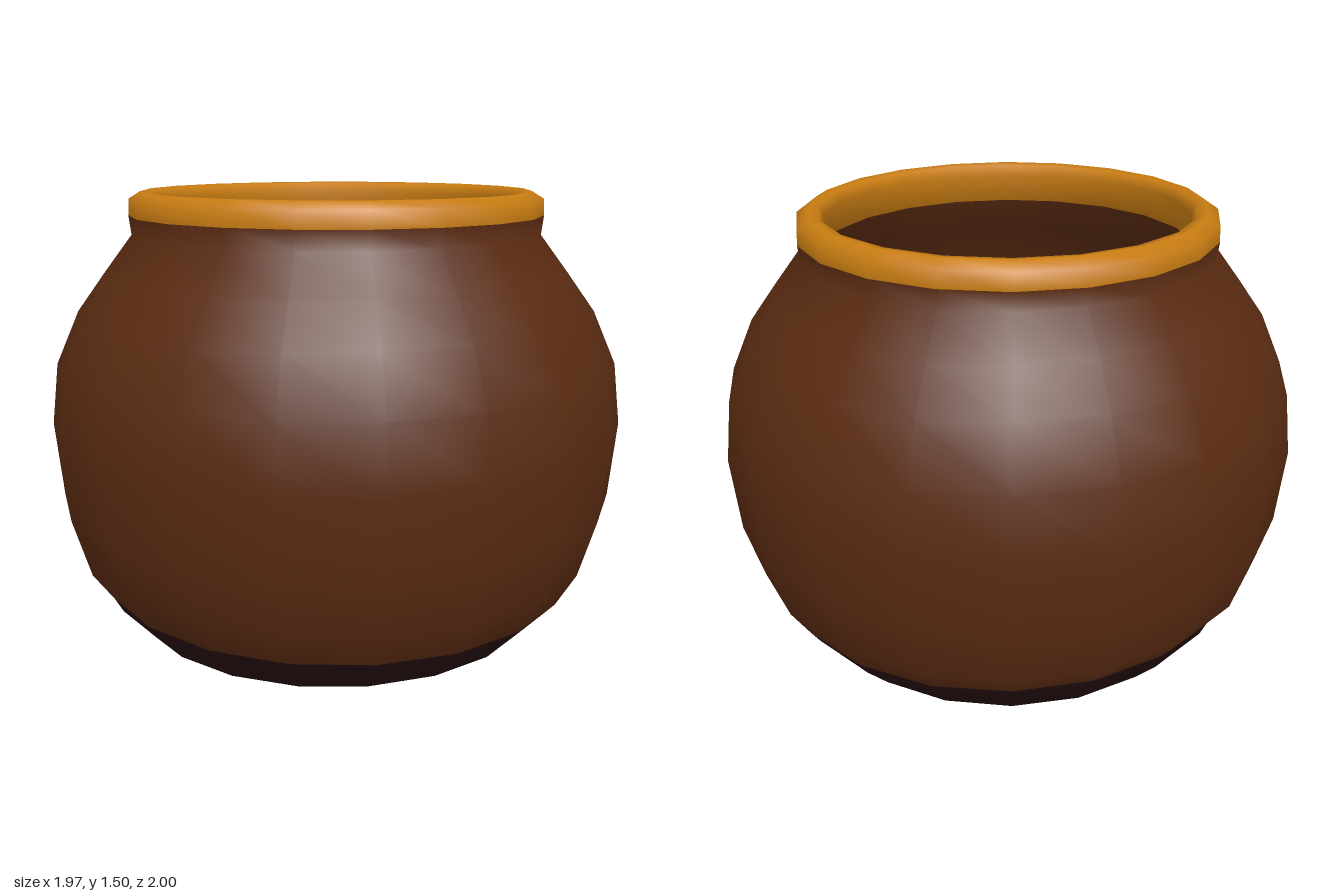
import * as THREE from 'three';

const SEGMENTS = 20;

// One continuous profile [radius, height]: under the base, up the outside,
// over the lip, and down the inside to the middle of the floor.
const PROFILE = [
  [0, 0], [0.72, 0], [0.815, 0.1], [0.845, 0.148],                        // 0-3 base
  [0.915, 0.25], [0.975, 0.45], [1, 0.71], [0.975, 0.92], [0.895, 1.1],
  [0.8, 1.23], [0.705, 1.355], [0.713, 1.42],                             // 4-11 body
  [0.71, 1.475], [0.67, 1.5], [0.635, 1.495], [0.62, 1.46], [0.635, 1.36], // 12-16 rim
  [0.74, 1.22], [0.83, 1.09], [0.91, 0.91], [0.935, 0.71], [0.91, 0.46],
  [0.85, 0.27], [0.77, 0.14],                                             // 17-23 inner wall
  [0.68, 0.05], [0, 0.05],                                                // 24-25 floor
];
const SEAM = 3;

// Turns the whole profile, then keeps the bands between two profile points,
// so neighbouring parts share smooth normals.
function turnBand(from, to) {
  const geometry = new THREE.LatheGeometry(
    PROFILE.map(([r, y]) => new THREE.Vector2(r, y)), SEGMENTS);
  const all = geometry.index.array;
  const kept = [];
  const bands = PROFILE.length - 1;
  for (let s = 0; s < SEGMENTS; s++) {
    for (let k = (s * bands + from) * 6; k < (s * bands + to) * 6; k++) kept.push(all[k]);
  }
  geometry.setIndex(kept);

  // The line where base meets body tilts a little
  const position = geometry.attributes.position;
  for (let s = 0; s <= SEGMENTS; s++) {
    const i = s * PROFILE.length + SEAM;
    position.setY(i, PROFILE[SEAM][1] - 0.02 * position.getX(i));
  }
  geometry.scale(0.985, 1, 1);
  return geometry;
}

export function createModel() {
  const material = (name, color) => {
    const m = new THREE.MeshStandardMaterial({ color });
    m.name = name;
    return m;
  };
  const brown = material('brown clay', 0x5a2b12);
  const dark = material('dark base', 0x281012);
  const amber = material('amber glaze', 0xc87c12);

  const pot = new THREE.Group();
  pot.name = 'pot';
  const parts = [
    ['base', 0, 3, dark],
    ['body', 3, 11, brown],
    ['rim', 11, 16, amber],
    ['innerWall', 16, 23, brown],
    ['floor', 23, 25, dark],
  ];
  for (const [name, from, to, mat] of parts) {
    const mesh = new THREE.Mesh(turnBand(from, to), mat);
    mesh.name = name;
    pot.add(mesh);
  }
  return pot;
}
